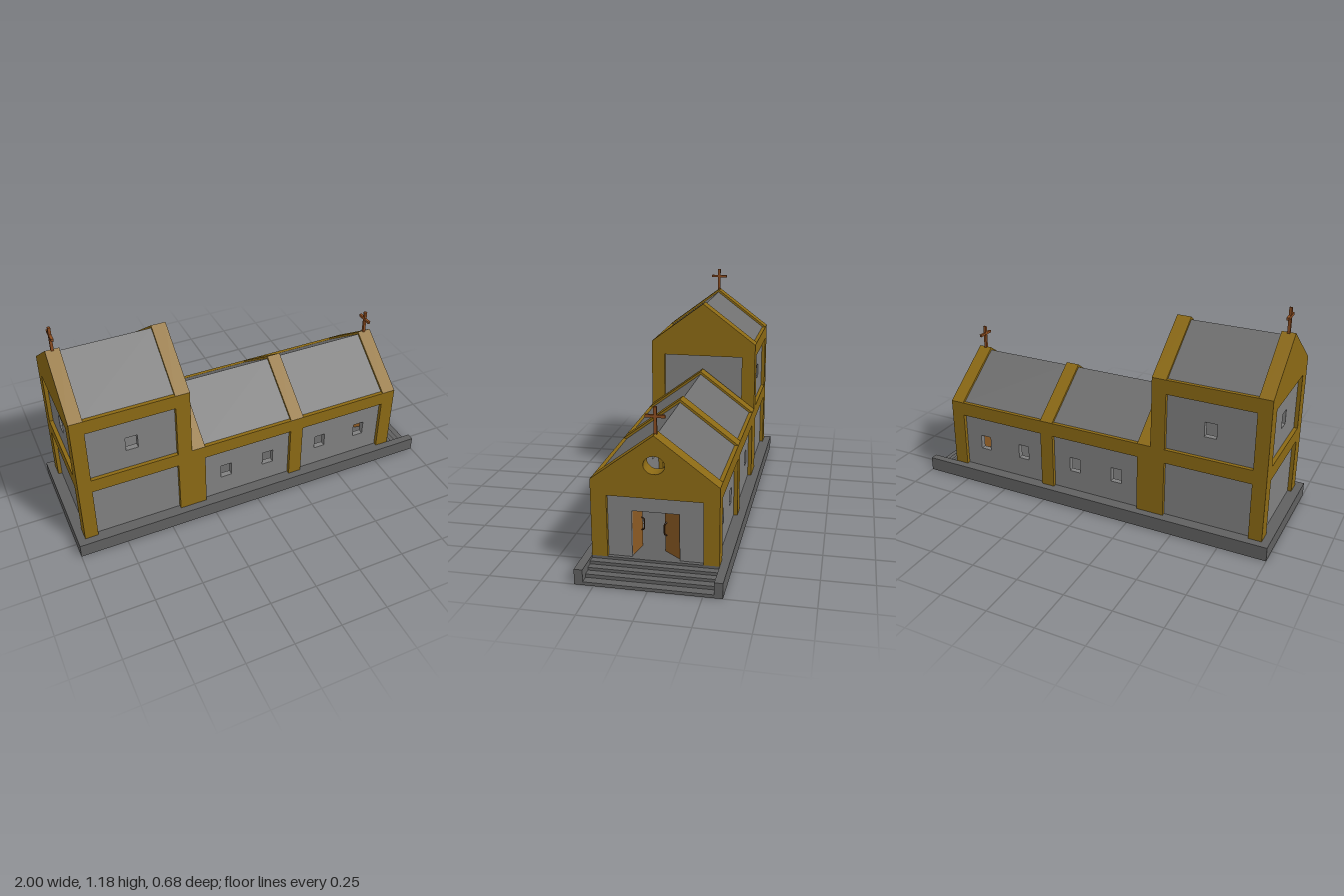
import * as THREE from 'three';

const mat = (color) => new THREE.MeshStandardMaterial({ color });
const stone = mat(0x606060), plaster = mat(0x808080), slate = mat(0x707070);
const gold = mat(0x8b6914), wood = mat(0x8b5a24), darkWood = mat(0x8b4c20), iron = mat(0x4a2c14);

const FLOOR = 0.075, HALF = 0.3, OPEN = 0.225, BEAM_LOW = 0.38;
const nave = { x0: -0.36, x1: 0.85, eave: 0.455, peak: 0.68 };
const tower = { x0: -0.96, x1: -0.36, eave: 0.83, peak: 1.055 };

export function createModel() {
  const root = new THREE.Group();

  const add = (name, geometry, material, parent = root) => {
    const mesh = new THREE.Mesh(geometry, material);
    mesh.name = name;
    parent.add(mesh);
    return mesh;
  };
  // Box given by its minimum and maximum on each axis
  const box = (name, material, x0, x1, y0, y1, z0, z1, parent = root) =>
    add(name, new THREE.BoxGeometry(x1 - x0, y1 - y0, z1 - z0)
      .translate((x0 + x1) / 2, (y0 + y1) / 2, (z0 + z1) / 2), material, parent);
  const polygon = (points, holes = []) => {
    const shape = new THREE.Shape(points.map(([x, y]) => new THREE.Vector2(x, y)));
    shape.holes = holes;
    return shape;
  };
  const rect = (x0, x1, y0, y1) => [[x0, y0], [x1, y0], [x1, y1], [x0, y1]];
  const rectHole = (...r) => new THREE.Path(rect(...r).map(([x, y]) => new THREE.Vector2(x, y)));
  const extrude = (shape, depth) =>
    new THREE.ExtrudeGeometry(shape, { depth, bevelEnabled: false, curveSegments: 24 });
  // Cross-section in the z-y plane, extruded from x0 to x1
  const across = (name, shape, x0, x1, material) =>
    add(name, extrude(shape, x1 - x0).rotateY(Math.PI / 2).translate(x0, 0, 0), material);

  // Plinth with steps sunk between two cheeks
  box('plinth', stone, -1, 0.85, 0, FLOOR, -0.34, 0.34);
  for (const s of [-1, 1]) {
    box('stepCheek', stone, 0.85, 1, 0, FLOOR, s > 0 ? HALF : -0.34, s > 0 ? 0.34 : -HALF);
  }
  const treads = [0.85, 0.885, 0.92, 0.957, 1];
  [0.062, 0.047, 0.033, 0.016].forEach((h, i) =>
    box('step', stone, treads[i], treads[i + 1], 0, h, -HALF, HALF));

  // Gabled portal frames
  const portal = ({ eave, peak }, holes) => polygon([
    [-HALF, FLOOR], [-OPEN, FLOOR], [-OPEN, BEAM_LOW], [OPEN, BEAM_LOW], [OPEN, FLOOR],
    [HALF, FLOOR], [HALF, eave], [0, peak], [-HALF, eave],
  ], holes);
  const upperOpening = () => rectHole(-OPEN, OPEN, 0.455, 0.755);
  const roundWindow = new THREE.Path().absellipse(0, 0.54, 0.05, 0.0425, 0, Math.PI * 2);
  across('towerBackFrame', portal(tower, [upperOpening()]), -0.96, -0.89, gold);
  across('towerFrontFrame', portal(tower, [upperOpening()]), -0.435, -0.36, gold);
  across('naveRearFrame', portal(nave), -0.36, -0.288, gold);
  across('naveMiddleFrame', portal(nave), 0.207, 0.28, gold);
  across('naveFrontFrame', portal(nave, [roundWindow]), 0.775, 0.85, gold);

  // Bays between frames: side beams, walls with windows, roof
  const sideWall = (x0, x1, y0, y1, windows) => {
    const holes = () => windows.map((w) => rectHole(...w));
    for (const z of [0.25, -0.28]) {
      add('sideWall', extrude(polygon(rect(x0, x1, y0, y1), holes()), 0.03).translate(0, 0, z), plaster);
    }
  };
  const sideBeams = (x0, x1, y0, y1) => {
    for (const s of [-1, 1]) box('sideBeam', gold, x0, x1, y0, y1, s > 0 ? OPEN : -HALF, s > 0 ? HALF : -OPEN);
  };
  const roof = ({ eave, peak }, x0, x1) => {
    const top = peak - 0.015, e = 0.28, t = 0.03;
    across('roof', polygon([[-e, eave], [-e, eave - t], [0, top - t], [e, eave - t], [e, eave], [0, top]]),
      x0, x1, slate);
  };
  const naveWindow = (x) => [x - 0.031, x + 0.031, 0.187, 0.267];
  const bays = [
    { x0: -0.288, x1: 0.207, windows: [-0.162, 0.082] },
    { x0: 0.28, x1: 0.775, windows: [0.403, 0.65] },
  ];
  for (const { x0, x1, windows } of bays) {
    sideWall(x0, x1, FLOOR, BEAM_LOW, windows.map(naveWindow));
    sideBeams(x0, x1, BEAM_LOW, 0.455);
    roof(nave, x0, x1);
  }
  sideWall(-0.89, -0.435, FLOOR, BEAM_LOW, []);
  sideWall(-0.89, -0.435, 0.455, 0.755, [[-0.695, -0.632, 0.565, 0.643]]);
  sideBeams(-0.89, -0.435, BEAM_LOW, 0.455);
  sideBeams(-0.89, -0.435, 0.755, 0.83);
  roof(tower, -0.89, -0.435);

  // End walls set back inside the frames
  across('towerBackLowerWall', polygon(rect(-OPEN, OPEN, FLOOR, BEAM_LOW)), -0.94, -0.91, plaster);
  across('towerBackUpperWall', polygon(rect(-OPEN, OPEN, 0.455, 0.755),
    [rectHole(-0.031, 0.031, 0.565, 0.643)]), -0.94, -0.91, plaster);
  across('towerFrontWall', polygon(rect(-OPEN, OPEN, 0.455, 0.755)), -0.41, -0.38, plaster);
  const DOOR = 0.112, DOOR_TOP = 0.305;
  across('entranceWall', polygon([
    [-OPEN, FLOOR], [-DOOR, FLOOR], [-DOOR, DOOR_TOP], [DOOR, DOOR_TOP], [DOOR, FLOOR],
    [OPEN, FLOOR], [OPEN, BEAM_LOW], [-OPEN, BEAM_LOW],
  ]), 0.8, 0.83, plaster);

  // Double doors swung inward, each with a bow handle
  for (const [s, name, angle] of [[1, 'leftDoor', 1.4], [-1, 'rightDoor', -0.68]]) {
    const door = new THREE.Group();
    door.name = name;
    door.position.set(0.815, FLOOR, s * DOOR);
    door.rotation.y = angle;
    root.add(door);
    const inner = -s * DOOR;
    box('doorLeaf', wood, -0.01, 0, 0, DOOR_TOP - FLOOR, Math.min(0, inner), Math.max(0, inner), door);
    const z = -s * 0.1;
    const bow = new THREE.CatmullRomCurve3([
      [0, 0.085], [0.012, 0.092], [0.014, 0.117], [0.012, 0.143], [0, 0.15],
    ].map(([x, y]) => new THREE.Vector3(x, y, z)));
    add('doorHandle', new THREE.TubeGeometry(bow, 16, 0.0035, 8), iron, door);
  }

  // Ridge crosses
  for (const [x, y] of [[-0.925, tower.peak], [0.81, nave.peak]]) {
    const cross = new THREE.Group();
    cross.name = 'ridgeCross';
    cross.position.set(x, y, 0);
    root.add(cross);
    box('crossUpright', darkWood, -0.007, 0.007, -0.02, 0.122, -0.007, 0.007, cross);
    box('crossBar', darkWood, -0.0065, 0.0065, 0.072, 0.085, -0.046, 0.046, cross);
  }
  return root;
}
